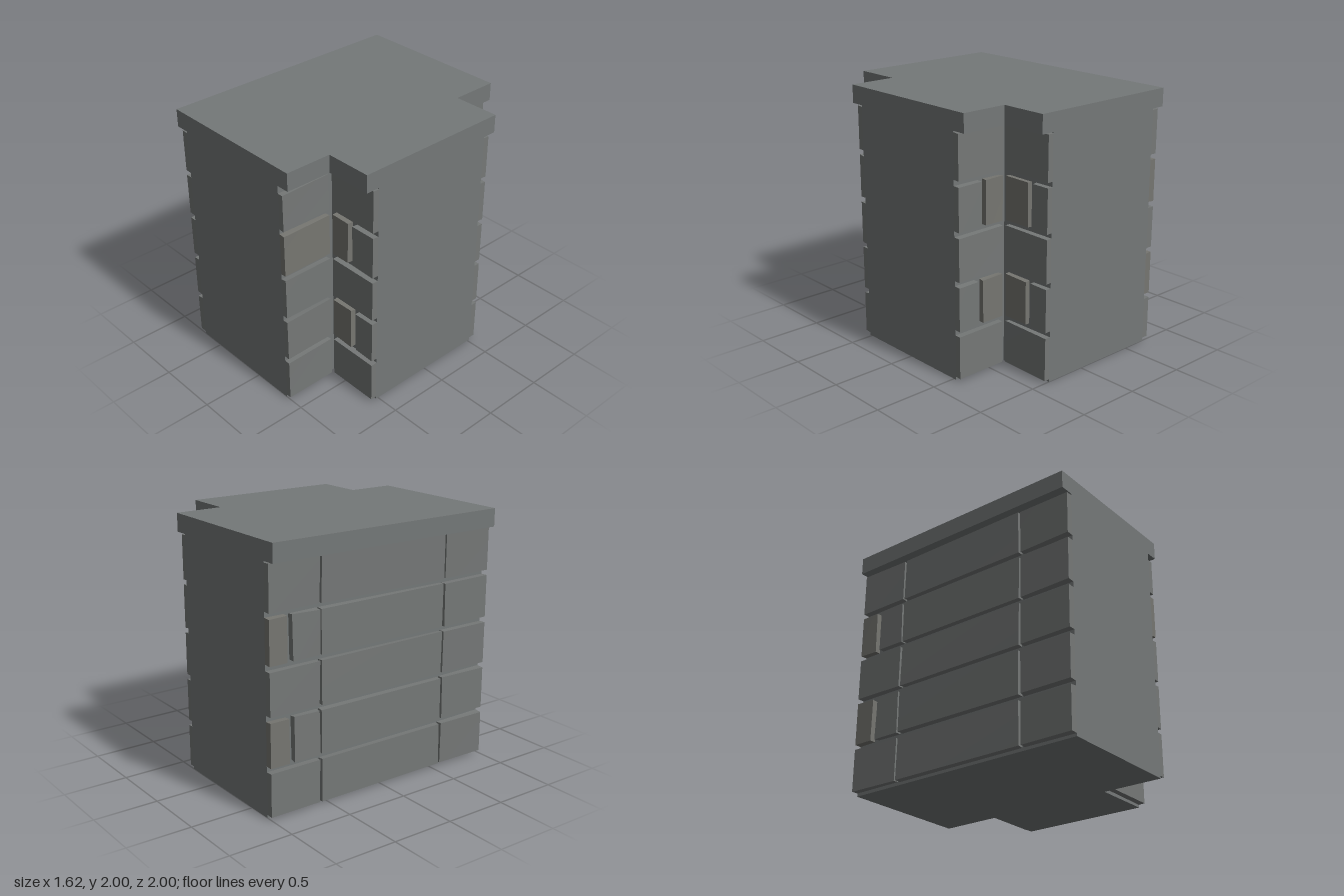
import * as THREE from 'three';

const stone = new THREE.MeshStandardMaterial({ color: 0x747878 });
stone.name = 'grey stone';
const brickGrey = new THREE.MeshStandardMaterial({ color: 0x757877 });
brickGrey.name = 'brick grey';
const brickWarm = new THREE.MeshStandardMaterial({ color: 0x767671 });
brickWarm.name = 'warm brick grey';

// T-shaped plan extruded upwards: long bar along z, stub towards +x
function tPrism(x0, x1, x2, zStub, y0, y1, name) {
  const pts = [[x0, -1], [x1, -1], [x1, -zStub], [x2, -zStub], [x2, zStub], [x1, zStub], [x1, 1], [x0, 1]];
  const shape = new THREE.Shape(pts.map(([x, z]) => new THREE.Vector2(x, z)));
  const geo = new THREE.ExtrudeGeometry(shape, { depth: y1 - y0, bevelEnabled: false });
  geo.rotateX(-Math.PI / 2).translate(0, y0, 0);
  const mesh = new THREE.Mesh(geo, stone);
  mesh.name = name;
  return mesh;
}

let seed = 7;
const rand = () => (seed = (seed * 16807) % 2147483647) / 2147483647;

// Brick between two corners, with its free corners worn slightly inwards
function brick(x0, x1, y0, y1, z0, z1, material) {
  const geo = new THREE.BoxGeometry(x1 - x0, y1 - y0, z1 - z0);
  const p = geo.attributes.position;
  const wear = {};
  const cx = (x0 + x1) / 2, cy = (y0 + y1) / 2, cz = (z0 + z1) / 2;
  for (let i = 0; i < p.count; i++) {
    const sx = Math.sign(p.getX(i)), sy = Math.sign(p.getY(i)), sz = Math.sign(p.getZ(i));
    const w = (wear[`${sx},${sy},${sz}`] ??= [rand(), rand(), rand()].map((r) => r * 0.007));
    const x = cx + p.getX(i), z = cz + p.getZ(i);
    const flush = Math.abs(z) > 0.999 || x > 0.8;
    p.setXYZ(i, flush ? x : x - sx * w[0], cy + p.getY(i) - sy * w[1], flush ? z : z - sz * w[2]);
  }
  geo.computeVertexNormals();
  const mesh = new THREE.Mesh(geo, material);
  mesh.name = 'brick';
  return mesh;
}

export function createModel() {
  const model = new THREE.Group();
  model.name = 'wallJunction';
  model.add(tPrism(-0.7, 0.335, 0.81, 0.52, 0, 1.87, 'mortarCore'));
  model.add(tPrism(-0.81, 0.44, 0.81, 0.63, 1.86, 2, 'capSlab'));

  const rows = [[0.02, 0.357], [0.392, 0.732], [0.767, 1.102], [1.137, 1.475], [1.51, 1.853]];
  const groups = {};
  for (const name of ['longWallBricks', 'frontCornerBricks', 'backCornerBricks']) {
    groups[name] = new THREE.Group();
    groups[name].name = name;
    model.add(groups[name]);
  }

  rows.forEach(([y0, y1], r) => {
    const split = r % 2 === 1;
    const a = r === 1 ? 0.8 : 0.81, b = a + 0.037;

    // Runs of bricks along z: full or split end, then the rest
    const backEnd = split ? [[-1, -b], [-a, -0.575]] : [[-1, -0.575]];
    const long = [...backEnd, [-0.565, 0.565], [0.575, 1]];
    long.forEach(([z0, z1], i) => groups.longWallBricks.add(
      brick(-0.755, -0.7, y0, y1, z0, z1, split && i === 0 ? brickWarm : brickGrey)));

    // Bar side of both inner corners
    backEnd.forEach(([z0, z1], i) => groups.backCornerBricks.add(
      brick(0.335, 0.38, y0, y1, z0, z1, split && i === 1 ? brickWarm : brickGrey)));
    groups.frontCornerBricks.add(
      brick(0.335, 0.38, y0, r === 4 ? 1.805 : y1, 0.58, 1, r === 3 ? brickWarm : brickGrey));

    // Stub side of both inner corners
    const s = r === 1 ? 0.59 : 0.557;
    const stub = split ? [[0.39, s], [s + 0.037, 0.81]] : [[0.39, 0.81]];
    stub.forEach(([x0, x1], i) => {
      const m = split && i === 0 ? brickWarm : brickGrey;
      groups.frontCornerBricks.add(brick(x0, x1, y0, y1, 0.52, 0.57, m));
      groups.backCornerBricks.add(brick(x0, x1, y0, y1, -0.57, -0.52, m));
    });
  });
  return model;
}
